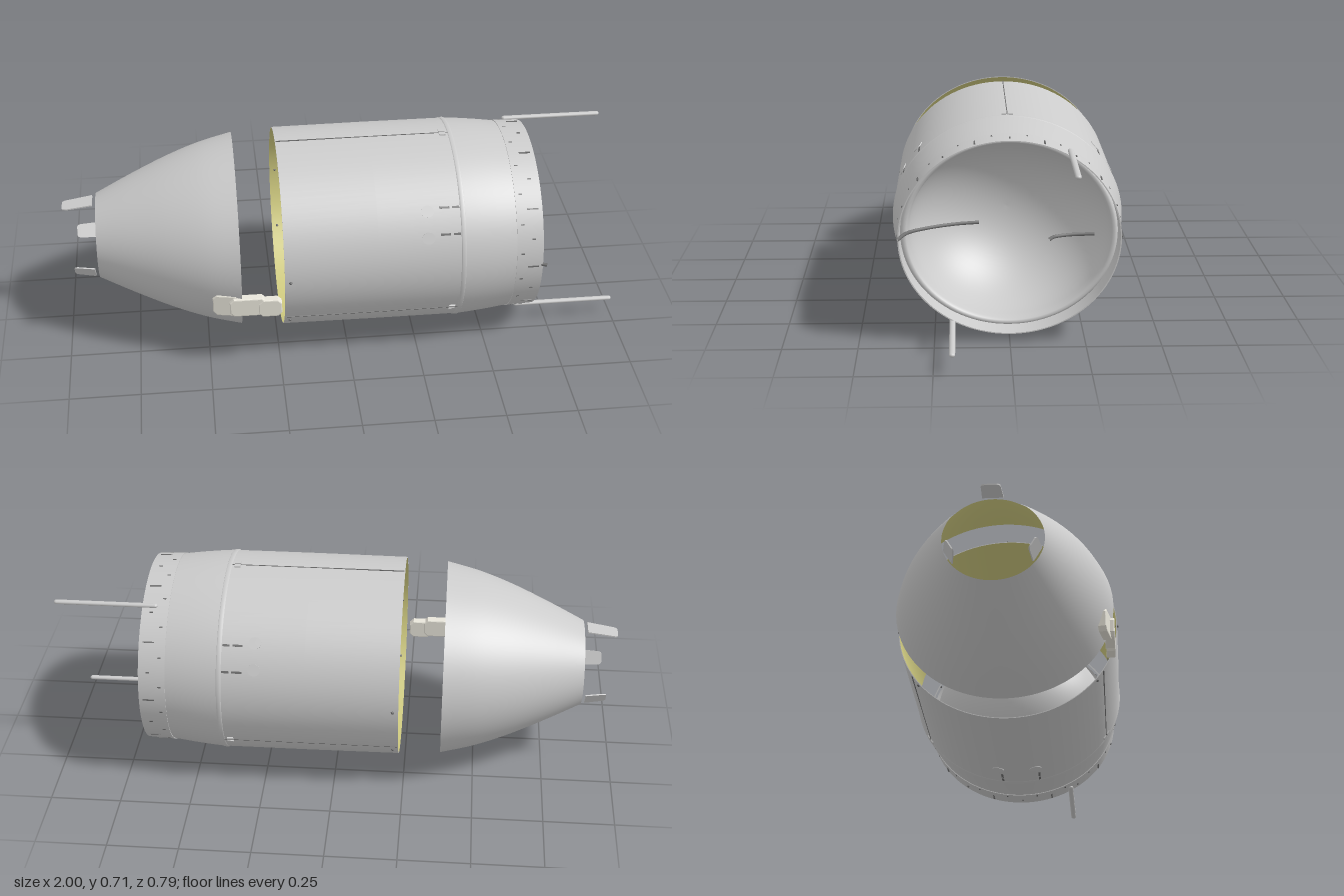
import * as THREE from 'three';

const grey = new THREE.MeshStandardMaterial({ color: 0xcccccc });
const greyDouble = new THREE.MeshStandardMaterial({ color: 0xcccccc, side: THREE.DoubleSide });
const primer = new THREE.MeshStandardMaterial({ color: 0xd0cb80 });
const dark = new THREE.MeshStandardMaterial({ color: 0x707070 });
const pale = new THREE.MeshStandardMaterial({ color: 0xe8e5da });

export function createModel() {
  const root = new THREE.Group();
  root.name = 'engineNacelle';
  // The whole body is a round one, squashed a little in height.
  const body = new THREE.Group();
  body.name = 'nacelleBody';
  body.scale.y = 0.895;
  body.position.y = 0.355;
  root.add(body);

  // Turned shell along x; profile is [x, radius]. Rising x faces outward, falling x inward.
  const shell = (name, profile, material) => {
    const geo = new THREE.LatheGeometry(profile.map(([x, r]) => new THREE.Vector2(r, x)), 96);
    const mesh = new THREE.Mesh(geo.rotateZ(-Math.PI / 2), material);
    mesh.name = name;
    body.add(mesh);
  };
  // Places a part at angle a round the axis (0 = front, PI/2 = top), its +z facing outward.
  const place = (name, geo, material, x, r, a) => {
    const pivot = new THREE.Group();
    pivot.name = name;
    pivot.rotation.x = -a;
    const mesh = new THREE.Mesh(geo, material);
    mesh.name = name;
    mesh.position.set(x, 0, r);
    pivot.add(mesh);
    body.add(pivot);
    return mesh;
  };
  const inner = (profile, gap = 0.003) => profile.map(([x, r]) => [x, r - gap]).reverse();

  // Tail cone
  const tail = new THREE.SplineCurve([[-0.88, 0.166], [-0.75, 0.235], [-0.62, 0.298],
    [-0.5, 0.345], [-0.38, 0.378]].map((p) => new THREE.Vector2(...p))).getPoints(24).map((p) => [p.x, p.y]);
  shell('tailCone', tail, grey);
  shell('tailConeLining', inner(tail), primer);
  shell('tailConeFrontEdge', [[-0.38, 0.378], [-0.38, 0.375]], greyDouble);

  // Fan cowl
  const cowl = [[-0.23, 0.389], [0.1, 0.391], [0.395, 0.391]];
  shell('fanCowl', cowl, grey);
  shell('fanCowlLining', inner(cowl), primer);
  shell('fanCowlRearEdge', [[-0.23, 0.386], [-0.23, 0.389]], greyDouble);
  shell('cowlJointBand', [[0.39, 0.391], [0.393, 0.394], [0.405, 0.394], [0.408, 0.39]], grey);

  // Inlet cowl, lip ring and the closed bowl inside
  shell('inletCowl', [[0.4, 0.392], [0.45, 0.388], [0.52, 0.38], [0.59, 0.37]], grey);
  shell('lipRing', [[0.59, 0.373], [0.685, 0.368]], grey);
  shell('lipRingStep', [[0.59, 0.368], [0.59, 0.373]], greyDouble);
  shell('lipRingEdge', [[0.685, 0.368], [0.685, 0.364]], greyDouble);
  shell('lipRingInside', [[0.685, 0.364], [0.6, 0.362]], grey);
  shell('inletLip', [[0.6, 0.362], [0.612, 0.357], [0.616, 0.35], [0.612, 0.342], [0.6, 0.336], [0.57, 0.334]], greyDouble);
  const bowl = [];
  for (let i = 0; i <= 20; i++) {
    const t = (i / 20) * Math.PI / 2;
    bowl.push([0.57 - 0.3 * Math.sin(t), Math.max(0.334 * Math.cos(t), 0.0005)]);
  }
  shell('inletBowl', bowl, greyDouble);

  // Fasteners round the lip ring
  for (let i = 0; i < 40; i++) {
    const a = (i / 40) * Math.PI * 2;
    const slot = new THREE.BoxGeometry(i % 4 ? 0.012 : 0.04, 0.005, 0.004);
    place('lipFastener', slot, dark, i % 2 ? 0.61 : 0.65, 0.371, a);
  }

  // Lengthwise panel seams with end clips
  const seamAngle = -0.53;
  for (const a of [Math.PI / 2, seamAngle, Math.PI - seamAngle]) {
    place('panelSeam', new THREE.BoxGeometry(0.62, 0.003, 0.003), dark, 0.083, 0.391, a);
    for (const side of [-1, 1]) {
      place('seamClip', new THREE.BoxGeometry(0.022, 0.016, 0.008), grey, 0.37, 0.392, a + side * 0.03);
    }
  }
  for (const a of [0.01, Math.PI - 0.01, seamAngle - 0.1, Math.PI - seamAngle + 0.1]) {
    place('cowlRivet', new THREE.SphereGeometry(0.006, 10, 8), dark, -0.21, 0.389, a);
  }

  // Round access covers with their latch slots, mirrored front to back and repeated below
  const bottom = -Math.PI / 2;
  for (const a of [0.4, 0.66, Math.PI - 0.4, Math.PI - 0.66, bottom - 0.18, bottom + 0.18]) {
    const disc = new THREE.CylinderGeometry(0.023, 0.023, 0.006, 24).rotateX(Math.PI / 2);
    place('accessCover', disc, grey, 0.275, 0.39, a);
    for (const [x, length] of [[0.335, 0.035], [0.375, 0.025]]) {
      place('latchSlot', new THREE.BoxGeometry(length, 0.008, 0.005), dark, x, 0.39, a + 0.03);
    }
  }

  // Three loose plates round the tail outlet
  for (const [a, length, width, x] of [[Math.PI / 2, 0.11, 0.07, -0.945],
    [-0.49, 0.075, 0.06, -0.928], [Math.PI + 0.49, 0.075, 0.06, -0.928]]) {
    const s = new THREE.Shape();
    const l = length / 2, w = width / 2;
    s.moveTo(l, -w);
    s.lineTo(l, w);
    s.lineTo(-l + 0.015, w * 0.9);
    s.quadraticCurveTo(-l, w * 0.85, -l, w * 0.5);
    s.lineTo(-l, -w * 0.5);
    s.quadraticCurveTo(-l, -w * 0.85, -l + 0.015, -w * 0.9);
    const plate = new THREE.ExtrudeGeometry(s, { depth: 0.005, bevelEnabled: false });
    place('tailPlate', plate, grey, x, 0.152, a).rotation.y = -0.17;
  }

  // Bracket bridging the cone and the cowl on the front side
  const strap = (name, x0, x1, height, depth, y, z) => {
    const s = new THREE.Shape();
    const l = (x1 - x0) / 2, h = height / 2, c = 0.012;
    s.moveTo(-l + c, -h);
    for (const [px, py] of [[l - c, -h], [l, -h + c], [l, h - c], [l - c, h], [-l + c, h], [-l, h - c], [-l, -h + c]]) s.lineTo(px, py);
    const geo = new THREE.ExtrudeGeometry(s, { depth, bevelSize: 0.004, bevelThickness: 0.004, bevelSegments: 2 });
    const mesh = new THREE.Mesh(geo, pale);
    mesh.name = name;
    mesh.position.set((x0 + x1) / 2, y, z);
    root.add(mesh);
    return mesh;
  };
  strap('bracketFoot', -0.475, -0.385, 0.075, 0.022, 0.258, 0.336).rotation.y = -0.2;
  strap('bracketSleeve', -0.42, -0.3, 0.062, 0.026, 0.258, 0.35);
  strap('bracketEnd', -0.32, -0.245, 0.06, 0.024, 0.25, 0.353);

  // Two rods reaching forward from the lip
  for (const [y, z] of [[0.64, -0.2], [0.068, 0.19]]) {
    const geo = new THREE.CapsuleGeometry(0.01, 0.35, 6, 12).rotateZ(Math.PI / 2).scale(1, 0.75, 1);
    const rod = new THREE.Mesh(geo, grey);
    rod.name = 'forwardRod';
    rod.position.set(0.815, y, z);
    root.add(rod);
  }

  // Two curved rods lying level inside the inlet
  const arcs = [
    [[0.7, 0.37], [0.61, 0.335], [0.555, 0.27], [0.51, 0.18], [0.49, 0.1]],
    [[0.71, -0.125], [0.672, -0.145], [0.65, -0.19], [0.642, -0.24], [0.64, -0.28]],
  ];
  for (const points of arcs) {
    const curve = new THREE.CatmullRomCurve3(points.map(([x, z]) => new THREE.Vector3(x, 0.357, z)));
    const rod = new THREE.Mesh(new THREE.TubeGeometry(curve, 32, 0.006, 10), dark);
    rod.name = 'curvedRod';
    root.add(rod);
  }
  return root;
}
